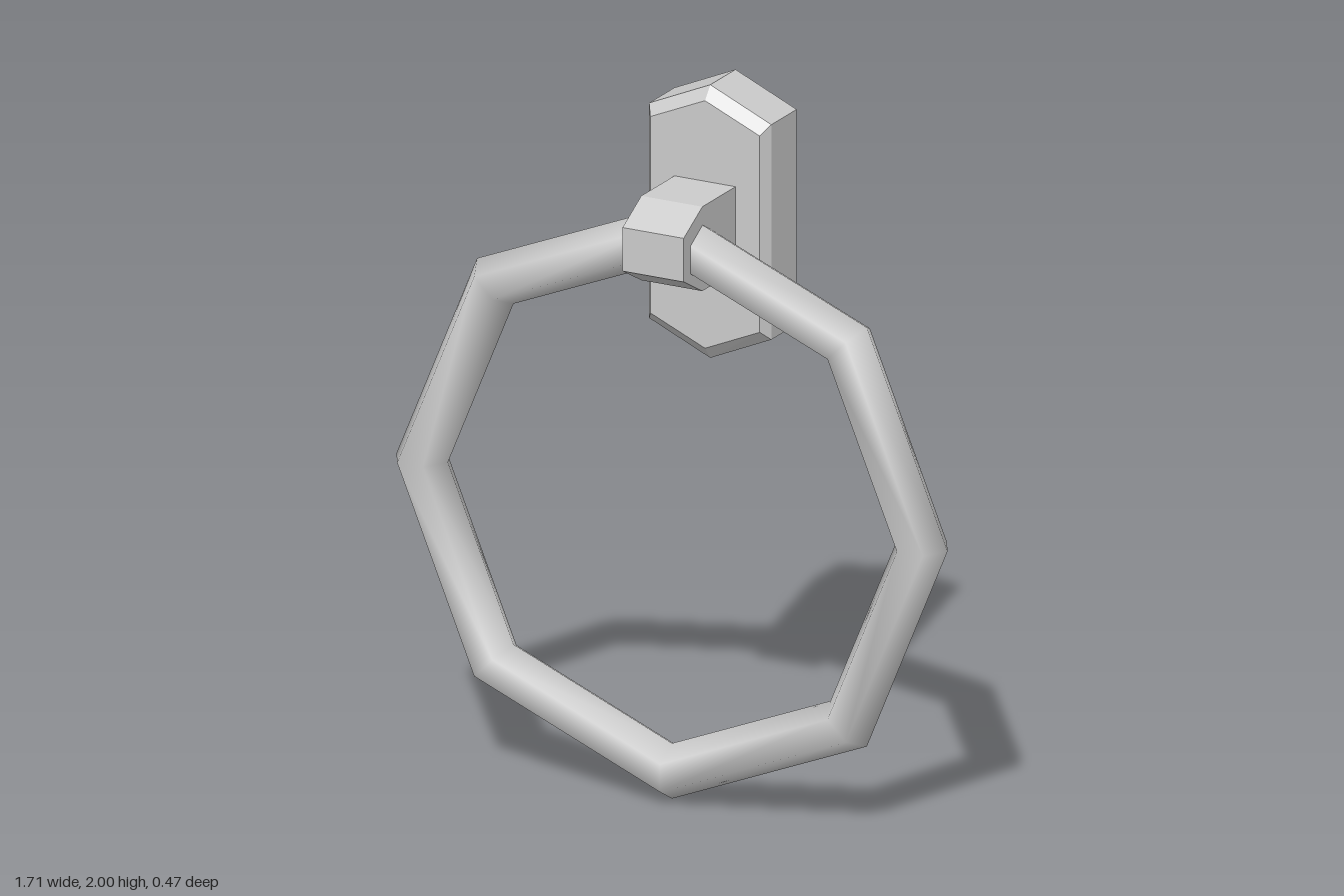
import * as THREE from 'three';

const flat = new THREE.MeshStandardMaterial({ color: 0xcccccc, flatShading: true, side: THREE.DoubleSide });
const smooth = new THREE.MeshStandardMaterial({ color: 0xcccccc });

// Walls joining cross-sections, each { z, pts } with pts counter-clockwise seen from +z
function loft(sections) {
  const pos = [];
  for (let s = 0; s < sections.length - 1; s++) {
    const a = sections[s], b = sections[s + 1], n = a.pts.length;
    for (let i = 0; i < n; i++) {
      const j = (i + 1) % n;
      const a0 = [...a.pts[i], a.z], a1 = [...a.pts[j], a.z];
      const b0 = [...b.pts[i], b.z], b1 = [...b.pts[j], b.z];
      pos.push(...a0, ...a1, ...b1, ...a0, ...b1, ...b0);
    }
  }
  const geo = new THREE.BufferGeometry();
  geo.setAttribute('position', new THREE.Float32BufferAttribute(pos, 3));
  geo.computeVertexNormals();
  return geo;
}

const toVectors = (pts) => pts.map(([x, y]) => new THREE.Vector2(x, y));

// Flat face with an optional opening
function face({ z, pts }, hole) {
  const shape = new THREE.Shape(toVectors(pts));
  if (hole) shape.holes.push(new THREE.Path(toVectors(hole)));
  return new THREE.ShapeGeometry(shape).translate(0, 0, z);
}

function add(parent, name, geo, mat) {
  const mesh = new THREE.Mesh(geo, mat);
  mesh.name = name;
  parent.add(mesh);
}

// Tall hexagon centred on the plate: half width, half height, shoulder half height
const hexagon = (w, h, s) =>
  [[w, -s], [w, s], [0, h], [-w, s], [-w, -s], [0, -h]].map(([x, y]) => [x, y + 1.605]);
const rect = (w, y0, y1) => [[w, y0], [w, y1], [-w, y1], [-w, y0]];

export function createModel() {
  const model = new THREE.Group();
  model.name = 'towelRing';

  // Hollow wall plate: open back, bevelled rim, opening behind the bracket
  const plate = new THREE.Group();
  plate.name = 'wallPlate';
  model.add(plate);
  const rim = [
    { z: -0.235, pts: hexagon(0.19, 0.395, 0.311) },
    { z: -0.09, pts: hexagon(0.19, 0.395, 0.311) },
    { z: -0.06, pts: hexagon(0.17, 0.358, 0.284) },
  ];
  const mouth = rect(0.095, 1.486, 1.73);
  add(plate, 'plateRim', loft(rim), flat);
  add(plate, 'plateFace', face(rim[2], mouth), flat);

  // Hollow bracket tapering towards the front
  const bracket = new THREE.Group();
  bracket.name = 'bracket';
  model.add(bracket);
  const arm = [
    { z: -0.06, pts: mouth },
    { z: 0.13, pts: mouth },
    { z: 0.237, pts: rect(0.095, 1.545, 1.671) },
  ];
  add(bracket, 'bracketWalls', loft(arm), flat);
  add(bracket, 'bracketFront', face(arm[2]), flat);

  // Eight-sided ring of hexagonal bar, passing through the bracket
  const ring = new THREE.TorusGeometry(0.777, 0.08, 6, 8).translate(0, 0.859, 0.129);
  add(model, 'ring', ring, smooth);

  return model;
}
